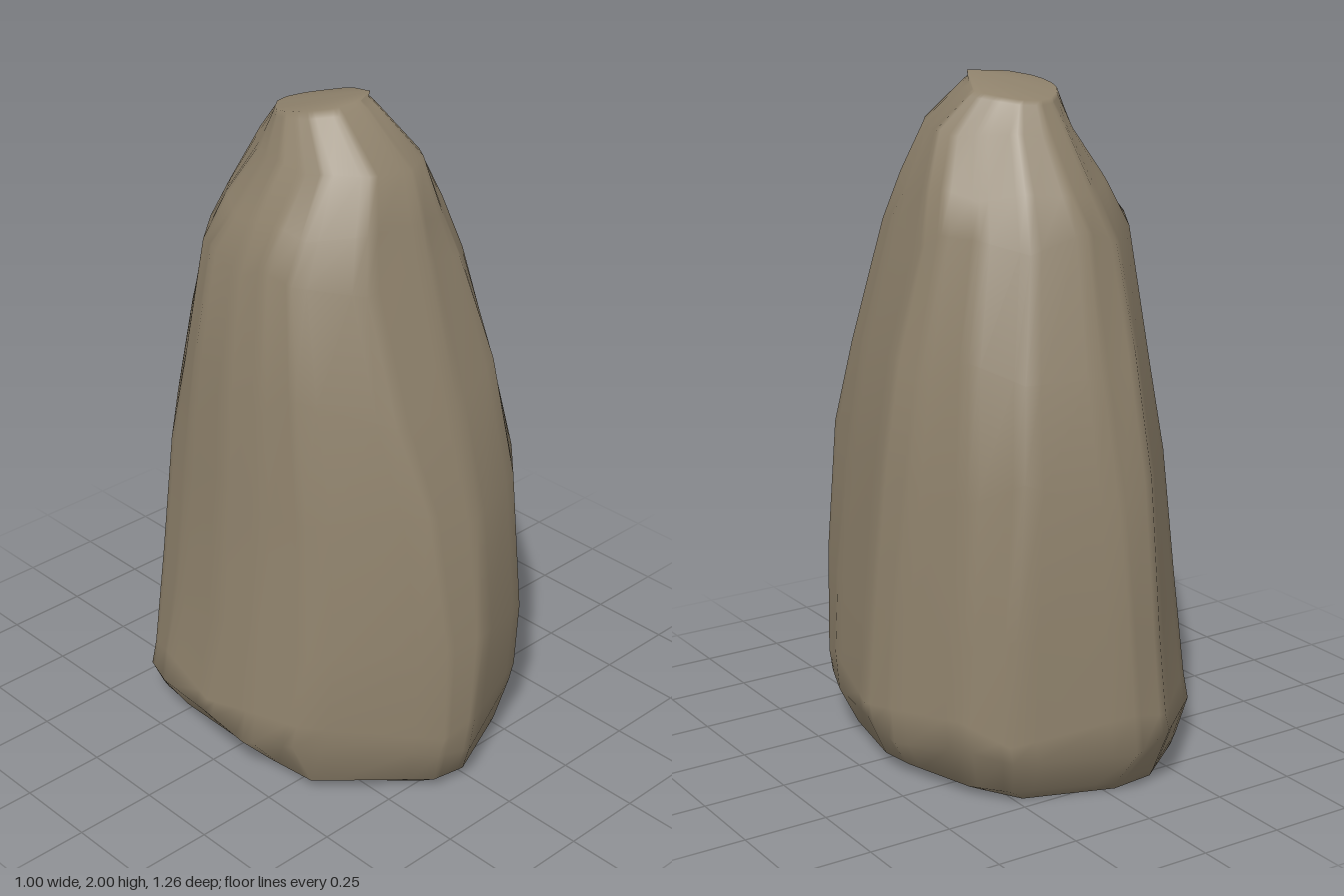
import * as THREE from 'three';

const { lerp } = THREE.MathUtils;

// Corner outlines [x, z] in a -1..1 box, from the front round by the left side (+x).
const BASE = [[-0.05, 1], [0.55, 0.81], [0.75, 0.64], [0.87, 0.4], [1, -0.06], [0.96, -0.25],
  [0.79, -0.62], [0.62, -0.83], [-0.08, -1], [-0.45, -0.97], [-0.95, -0.7], [-0.98, -0.45],
  [-1, -0.04], [-0.99, 0.25], [-0.95, 0.54], [-0.32, 0.98]];
const LOWER = [[-0.05, 1], [0.55, 0.81], [0.75, 0.64], [0.87, 0.4], [1, -0.06], [0.96, -0.25],
  [0.79, -0.62], [0.62, -0.83], [-0.08, -1], [-0.32, -0.98], [-0.84, -0.58], [-0.95, -0.38],
  [-1, -0.04], [-0.97, 0.21], [-0.87, 0.48], [-0.25, 0.96]];
const UPPER = [[0.1, 1], [0.55, 0.93], [0.73, 0.81], [0.86, 0.45], [1, -0.15], [0.94, -0.35],
  [0.76, -0.62], [0.47, -0.89], [0, -1], [-0.35, -0.94], [-0.79, -0.57], [-0.93, -0.33],
  [-1, 0], [-0.98, 0.28], [-0.91, 0.52], [-0.53, 0.94]];
const CROWN = [[0.1, 1], [0.46, 0.88], [0.63, 0.68], [0.8, 0.38], [1, -0.1], [0.92, -0.3],
  [0.7, -0.55], [0.38, -0.86], [0, -1], [-0.35, -0.9], [-0.72, -0.57], [-0.92, -0.3],
  [-1, 0], [-0.97, 0.3], [-0.87, 0.55], [-0.53, 0.92]];
const OUTLINES = [BASE, LOWER, UPPER, CROWN];

// Rings: height, x min, x max, z min, z max, position among the outlines, height wobble, tilt along z.
const RINGS = [
  [0, -0.35, 0.34, -0.52, 0.48, 0, 0, 0],
  [0, -0.375, 0.365, -0.54, 0.51, 0, 0, 0],
  [0.03, -0.405, 0.425, -0.56, 0.57, 0.15, 0.005, 0],
  [0.15, -0.503, 0.495, -0.63, 0.61, 0.95, 0.025, 0],
  [0.23, -0.495, 0.5, -0.625, 0.622, 1, 0.03, 0],
  [0.5, -0.46, 0.475, -0.61, 0.632, 1.15, 0.04, 0],
  [0.9, -0.42, 0.447, -0.582, 0.567, 1.45, 0.05, 0],
  [1.22, -0.4, 0.405, -0.495, 0.468, 1.75, 0.04, 0],
  [1.57, -0.347, 0.322, -0.405, 0.352, 2, 0.03, 0],
  [1.69, -0.285, 0.292, -0.352, 0.312, 2.5, 0.015, 0],
  [1.845, -0.208, 0.225, -0.255, 0.272, 3, 0.01, 0],
  [1.955, -0.147, 0.147, -0.197, 0.115, 3, 0, 0.17],
  [1.972, -0.138, 0.135, -0.19, 0.09, 3, 0, 0.2],
];

function ringPoints([y, x0, x1, z0, z1, shape, wobble, tilt], r) {
  const k = Math.min(Math.floor(shape), OUTLINES.length - 2);
  const corners = OUTLINES[k].map(([ax, az], i) => {
    const [bx, bz] = OUTLINES[k + 1][i];
    const x = lerp(x0, x1, (lerp(ax, bx, shape - k) + 1) / 2);
    const z = lerp(z0, z1, (lerp(az, bz, shape - k) + 1) / 2);
    return new THREE.Vector3(x, y + wobble * Math.sin(i * 2.4 + r * 1.7) + tilt * z, z);
  });
  // Extra points beside each corner keep the facets flat and their edges softly rounded
  return corners.flatMap((corner, i) => {
    const next = corners[(i + 1) % corners.length];
    return [0, 0.2, 0.8].map((t) => corner.clone().lerp(next, t));
  });
}

function boulderGeometry() {
  const rings = RINGS.map(ringPoints);
  const n = rings[0].length;
  const last = (rings.length - 1) * n;
  const bottom = rings.length * n, top = bottom + 1;
  const points = [...rings.flat(), new THREE.Vector3(), new THREE.Vector3(0.07, 2, 0.07)];
  const index = [];
  for (let i = 0; i < n; i++) {
    const j = (i + 1) % n;
    // Sides
    for (let a = i, b = j; a < last; a += n, b += n) index.push(a, b, b + n, a, b + n, a + n);
    // Flat base and sloping crown
    index.push(bottom, j, i, top, last + i, last + j);
  }
  const geometry = new THREE.BufferGeometry().setFromPoints(points);
  geometry.setIndex(index);
  geometry.computeVertexNormals();
  return geometry;
}

export function createModel() {
  const model = new THREE.Group();
  model.name = 'standingStone';
  const stone = new THREE.MeshStandardMaterial({ color: 0x8f826c });
  stone.name = 'brownStone';
  const boulder = new THREE.Mesh(boulderGeometry(), stone);
  boulder.name = 'boulder';
  model.add(boulder);
  return model;
}
